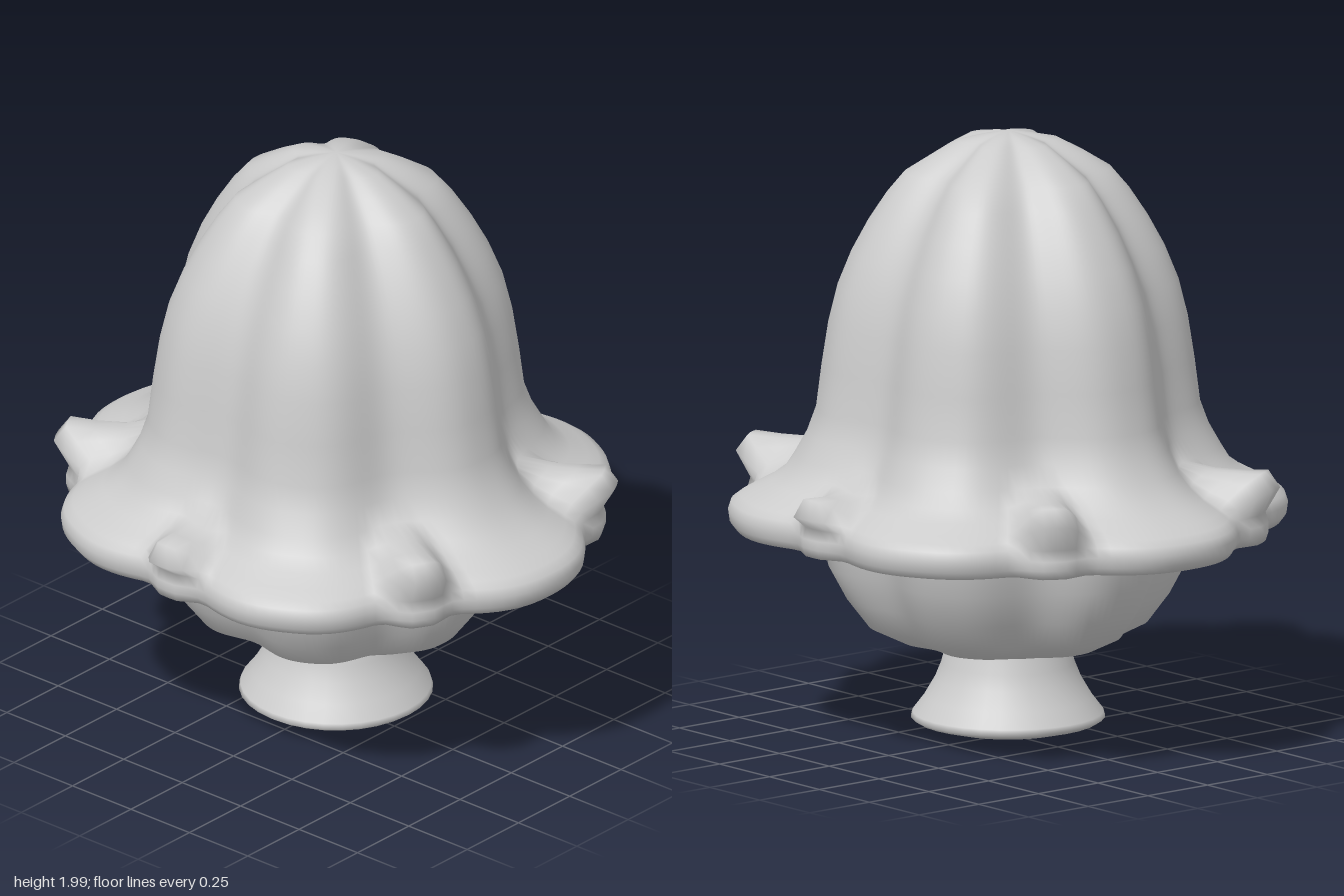
import * as THREE from 'three';
import { mergeVertices } from 'three/addons/utils/BufferGeometryUtils.js';

const material = new THREE.MeshStandardMaterial({ color: 0xcccccc, side: THREE.DoubleSide });
const SEGMENTS = 144;

// Bottom-to-top profile rows: [lobe radius, lobe y, groove radius, knob radius, knob y]
// (the last two only where the brim is pulled out into knobs)
const bellProfile = [
  [0, 0.30, 0],
  [0.20, 0.30, 0.20],
  [0.35, 0.328, 0.31],
  [0.46, 0.38, 0.405],
  [0.53, 0.47, 0.46],
  [0.59, 0.58, 0.51],
  [0.615, 0.70, 0.53],
  [0.625, 0.79, 0.54],
  // underside and rolled rim of the brim
  [0.70, 0.775, 0.62],
  [0.80, 0.735, 0.70],
  [0.86, 0.705, 0.75],
  [0.915, 0.705, 0.80, 0.82, 0.705],
  [0.935, 0.73, 0.815, 0.83, 0.735],
  [0.94, 0.765, 0.82, 0.83, 0.765],
  [0.93, 0.795, 0.81, 0.82, 0.80],
  [0.90, 0.815, 0.79, 0.87, 0.84],
  [0.86, 0.835, 0.76, 0.83, 0.895],
  [0.80, 0.865, 0.70, 0.74, 0.89],
  [0.75, 0.90, 0.65, 0.65, 0.89],
  // fluted dome
  [0.70, 0.95, 0.60],
  [0.66, 1.02, 0.565],
  [0.63, 1.10, 0.545],
  [0.612, 1.24, 0.53],
  [0.59, 1.38, 0.508],
  [0.56, 1.50, 0.48],
  [0.515, 1.61, 0.435],
  [0.46, 1.71, 0.385],
  [0.40, 1.80, 0.325],
  [0.34, 1.87, 0.27],
  [0.25, 1.925, 0.19],
  [0.165, 1.97, 0.125],
  [0.08, 1.987, 0.065],
  [0, 2.00, 0],
];

// Weld the seam and give the surface continuous normals
function smooth(geometry) {
  geometry.deleteAttribute('uv');
  geometry.deleteAttribute('normal');
  const welded = mergeVertices(geometry, 1e-4);
  welded.computeVertexNormals();
  return welded;
}

// Six-lobed bell, brim and bowl as one revolved skin
function lobedBell() {
  const rows = bellProfile.length;
  const geometry = new THREE.LatheGeometry(
    bellProfile.map(([r, y]) => new THREE.Vector2(r, y)), SEGMENTS);
  const pos = geometry.attributes.position;
  for (let i = 0; i <= SEGMENTS; i++) {
    const phi = ((i % SEGMENTS) / SEGMENTS) * Math.PI * 2;
    const side = Math.sin(phi) ** 2;
    const groove = Math.pow(Math.max(0, (1 - Math.cos(6 * phi)) / 2), 1.5);
    // distance in degrees to the nearest groove line
    const degrees = THREE.MathUtils.radToDeg(phi) % 60;
    const knob = 1 - THREE.MathUtils.smoothstep(Math.abs(degrees - 30), 2, 10);
    const corner = side < 0.6 ? 1 : 0;
    for (let j = 0; j < rows; j++) {
      const [lobeR, lobeY, grooveR, knobR, knobY] = bellProfile[j];
      const squeeze = lobeR > 0.7 ? 0.055 : 0.02;
      let r = THREE.MathUtils.lerp(lobeR, grooveR, groove) * (1 - squeeze * side);
      let y = lobeY;
      if (knobR) {
        const lift = corner && knobY > 0.82 ? 0.045 : 0;
        r = THREE.MathUtils.lerp(r, knobR + corner * 0.05, knob);
        y = THREE.MathUtils.lerp(y, knobY + lift, knob);
      }
      pos.setXYZ(i * rows + j, r * Math.sin(phi), y, r * Math.cos(phi));
    }
  }
  return smooth(geometry);
}

// Flared foot with a shallow domed base
function flaredFoot() {
  const profile = [
    [0, 0.01], [0.12, 0.022], [0.22, 0.04], [0.295, 0.06], [0.313, 0.072], [0.308, 0.09],
    [0.27, 0.14], [0.235, 0.20], [0.215, 0.25], [0.20, 0.31], [0.19, 0.34],
  ];
  return smooth(new THREE.LatheGeometry(profile.map(([r, y]) => new THREE.Vector2(r, y)), 32));
}

export function createModel() {
  const model = new THREE.Group();
  const parts = { flutedBell: lobedBell(), foot: flaredFoot() };
  for (const [name, geometry] of Object.entries(parts)) {
    const mesh = new THREE.Mesh(geometry, material);
    mesh.name = name;
    model.add(mesh);
  }
  return model;
}
